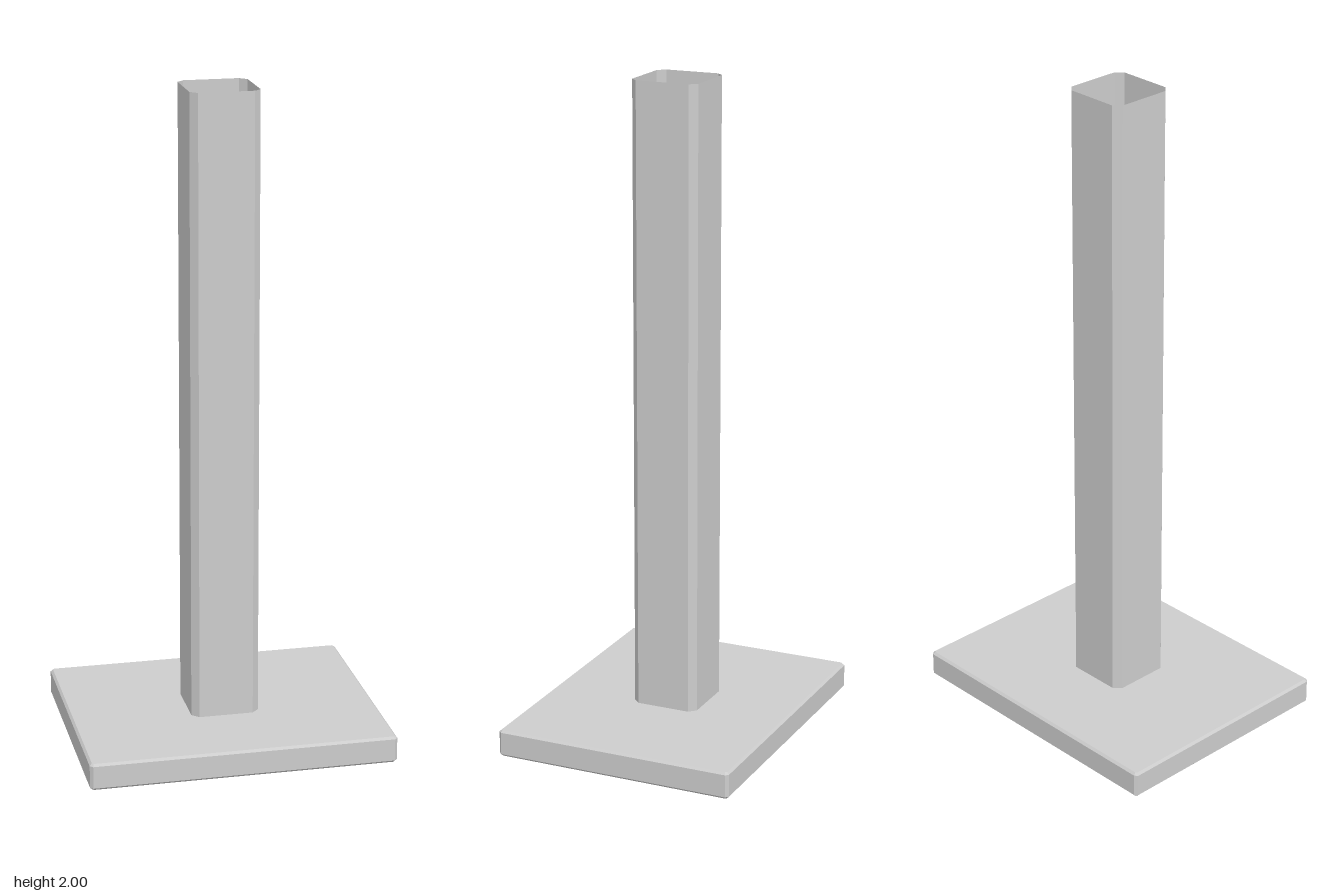
import * as THREE from 'three';

// Corners of a rectangle with cut corners, running round from +v towards +u
function cutRectangle(halfU, halfV, cut) {
  const u = halfU - cut, v = halfV - cut;
  return [
    [u, halfV], [halfU, v], [halfU, -v], [u, -halfV],
    [-u, -halfV], [-halfU, -v], [-halfU, v], [-u, halfV],
  ].map(([a, b]) => new THREE.Vector2(a, b));
}

export function createModel() {
  const group = new THREE.Group();
  group.name = 'postOnBase';

  const grey = new THREE.MeshStandardMaterial({ color: 0xcccccc, side: THREE.DoubleSide });
  grey.name = 'grey';

  // Base plate with a narrow chamfer on every edge
  const baseHeight = 0.083, bevel = 0.007;
  const baseGeometry = new THREE.ExtrudeGeometry(
    new THREE.Shape(cutRectangle(0.467, 0.374, 0.009)),
    {
      depth: baseHeight - 2 * bevel,
      bevelEnabled: true,
      bevelSegments: 1,
      bevelSize: bevel,
      bevelThickness: bevel,
      bevelOffset: -bevel,
    },
  );
  baseGeometry.rotateX(-Math.PI / 2).translate(0, bevel, 0);
  const base = new THREE.Mesh(baseGeometry, grey);
  base.name = 'basePlate';
  group.add(base);

  // Hollow post, a thin open tube with cut corners
  const postHeight = 2 - baseHeight;
  const tube = new THREE.CylinderGeometry(1, 1, postHeight, 8, 1, true);
  const ring = cutRectangle(0.104, 0.104, 0.021);
  const position = tube.attributes.position;
  for (let i = 0; i < position.count; i++) {
    const corner = ring[(i % 9) % 8];
    position.setX(i, corner.x);
    position.setZ(i, corner.y);
  }
  const postGeometry = tube.toNonIndexed();
  postGeometry.computeVertexNormals();
  postGeometry.translate(0, baseHeight + postHeight / 2, 0);
  const post = new THREE.Mesh(postGeometry, grey);
  post.name = 'hollowPost';
  group.add(post);

  return group;
}
